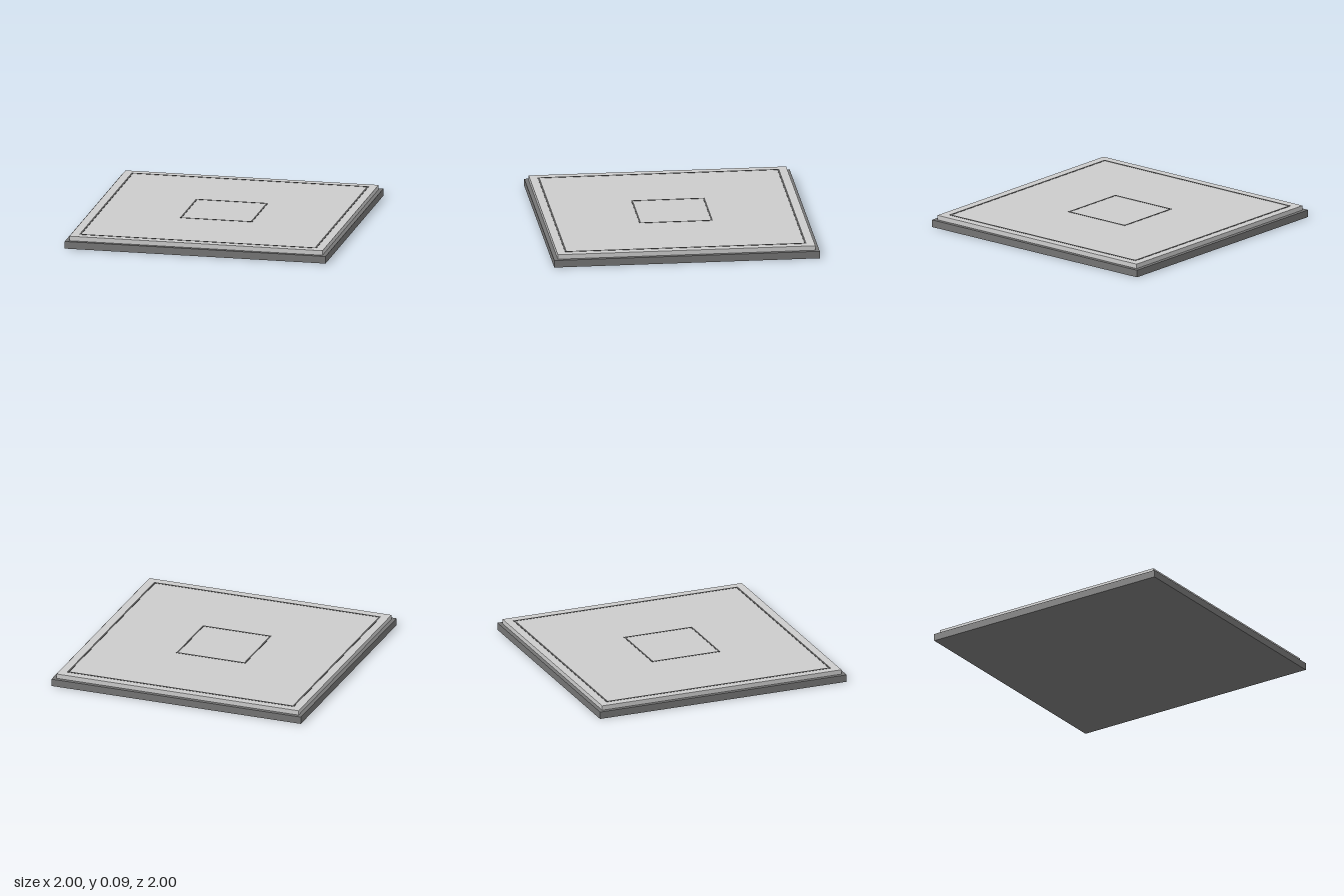
import * as THREE from 'three';

const material = (color) => new THREE.MeshStandardMaterial({ color });

// Square slab resting on height y
function slab(name, size, height, y, mat) {
  const mesh = new THREE.Mesh(new THREE.BoxGeometry(size, height, size), mat);
  mesh.name = name;
  mesh.position.y = y + height / 2;
  return mesh;
}

// Closed square outline centred on the origin
function square(target, half) {
  target.moveTo(-half, -half);
  target.lineTo(half, -half);
  target.lineTo(half, half);
  target.lineTo(-half, half);
  target.closePath();
  return target;
}

// Thin square border strip lying flat on height y
function border(name, outer, width, height, y, mat) {
  const shape = square(new THREE.Shape(), outer);
  shape.holes.push(square(new THREE.Path(), outer - width));
  const geometry = new THREE.ExtrudeGeometry(shape, { depth: height, bevelEnabled: false });
  geometry.rotateX(-Math.PI / 2);
  const mesh = new THREE.Mesh(geometry, mat);
  mesh.name = name;
  mesh.position.y = y;
  return mesh;
}

export function createModel() {
  const model = new THREE.Group();
  model.name = 'floorTile';

  const dark = material(0x747474);
  const line = material(0x555555);
  const light = material(0xcccccc);
  const baseHeight = 0.055;
  const topHeight = 0.035;
  const surface = baseHeight + topHeight;

  // Dark base with a slightly smaller light panel on top
  model.add(slab('base', 2, baseHeight, 0, dark));
  model.add(slab('topPanel', 1.94, topHeight, baseHeight, light));

  // Dark inlay lines on the panel
  model.add(border('outerInlay', 0.91, 0.015, 0.002, surface, line));
  model.add(border('centreInlay', 0.277, 0.013, 0.002, surface, line));

  return model;
}
